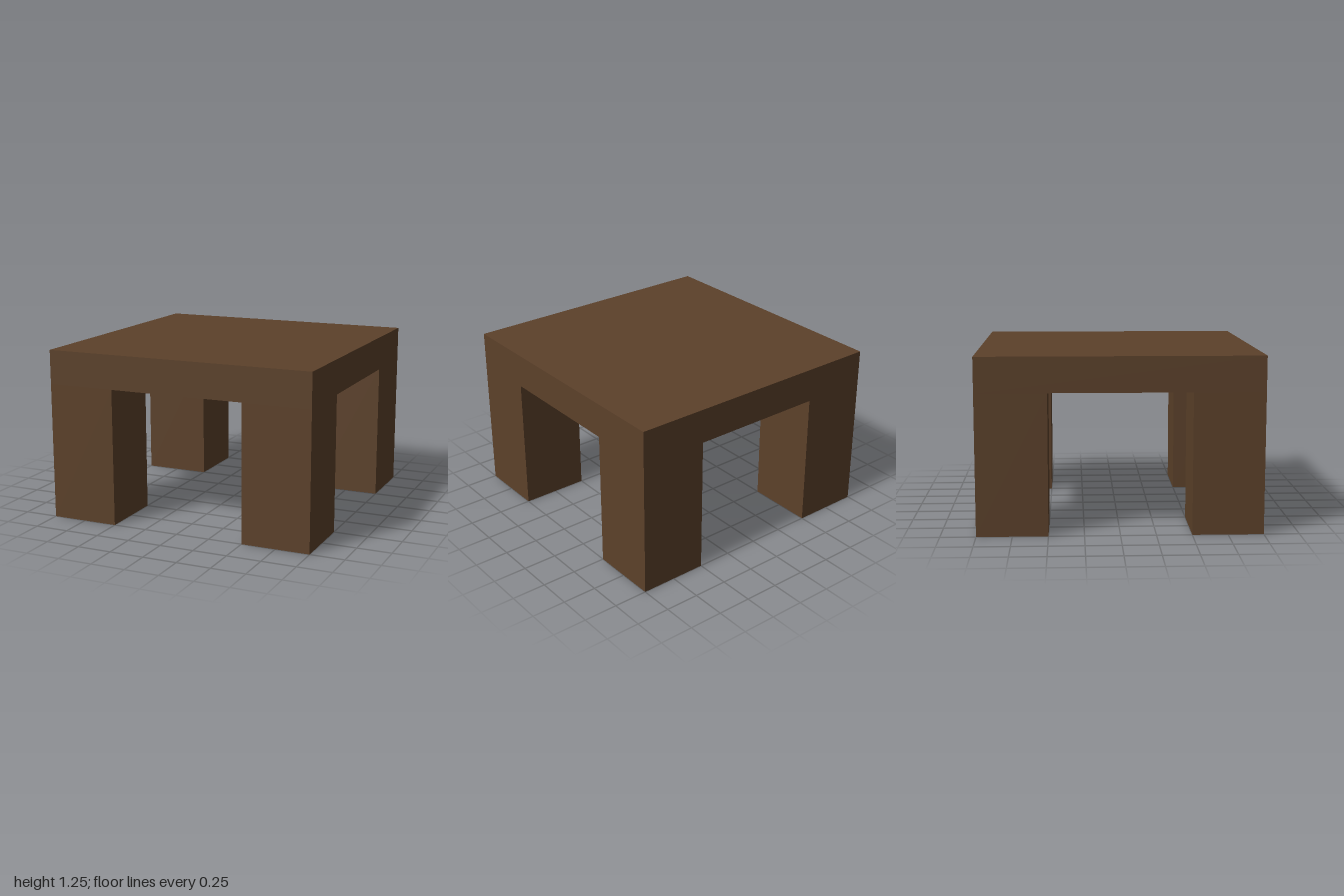
import * as THREE from 'three';

const LEG_WIDTH = 0.5;
const LEG_HEIGHT = 1;
const TOP_SIZE = 2;
const TOP_THICKNESS = 0.25;

export function createModel() {
  const group = new THREE.Group();
  group.name = 'table';
  const wood = new THREE.MeshStandardMaterial({ color: 0x5c412a });

  // Square slab top
  const top = new THREE.Mesh(new THREE.BoxGeometry(TOP_SIZE, TOP_THICKNESS, TOP_SIZE), wood);
  top.name = 'tableTop';
  top.position.y = LEG_HEIGHT + TOP_THICKNESS / 2;
  group.add(top);

  // Four block legs, flush with the corners
  const legGeometry = new THREE.BoxGeometry(LEG_WIDTH, LEG_HEIGHT, LEG_WIDTH);
  const offset = (TOP_SIZE - LEG_WIDTH) / 2;
  for (const [zName, z] of [['front', 1], ['back', -1]]) {
    for (const [xName, x] of [['Left', 1], ['Right', -1]]) {
      const leg = new THREE.Mesh(legGeometry, wood);
      leg.name = `${zName}${xName}Leg`;
      leg.position.set(x * offset, LEG_HEIGHT / 2, z * offset);
      group.add(leg);
    }
  }

  return group;
}
